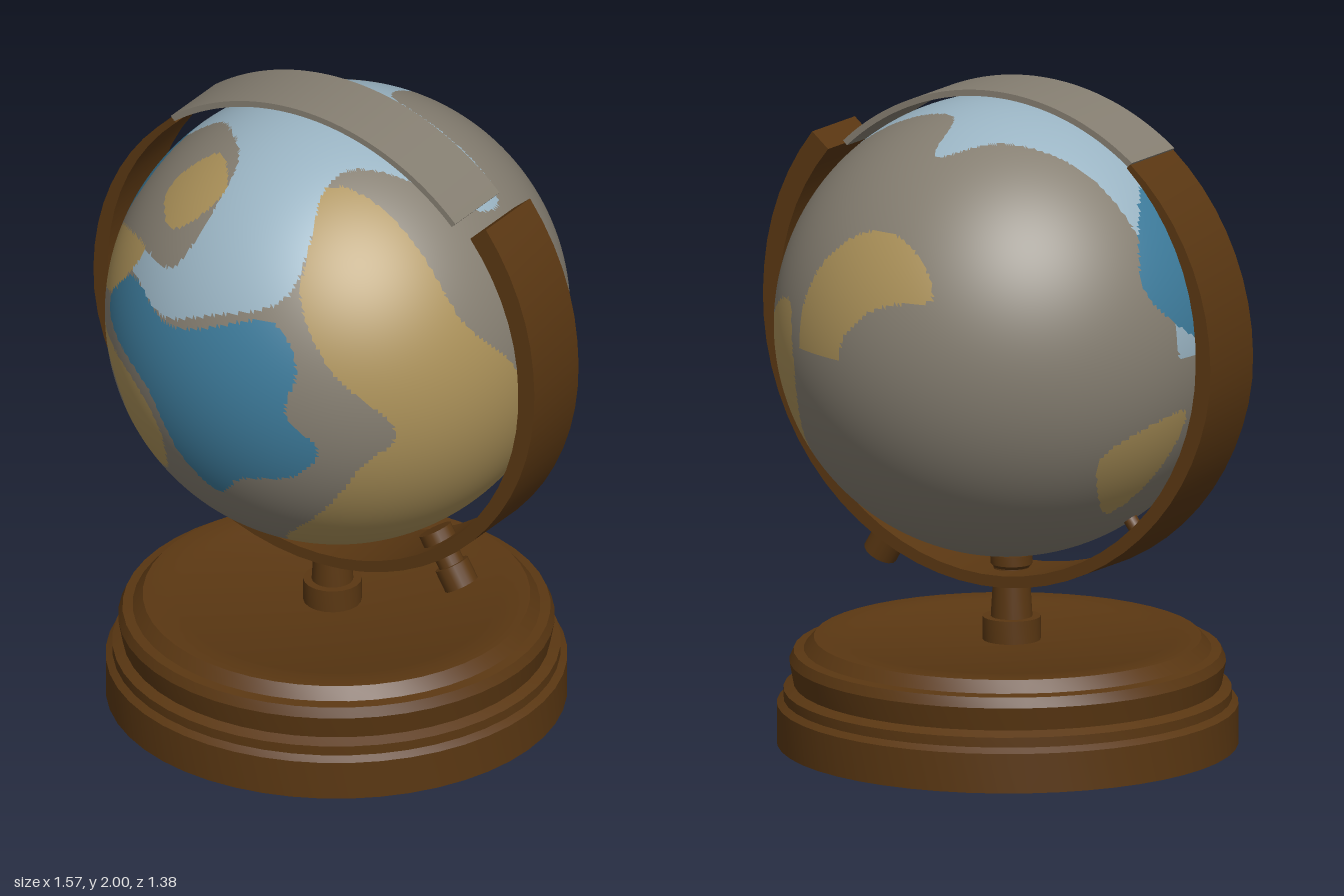
import * as THREE from 'three';
import { toCreasedNormals } from 'three/addons/utils/BufferGeometryUtils.js';

const paint = (name, color) => {
  const m = new THREE.MeshStandardMaterial({ color });
  m.name = name;
  return m;
};

// Map patches, painted in order, on a globe of radius 130. Each is a rounded loop
// through a few points, seen along one axis and covering the half facing that side.
const GREY = 0, ICE = 1, SEA = 2, LAND = 3;
const SIDES = {
  front: (p) => (p.z > 0 ? [p.x, p.y] : null),
  right: (p) => (p.x > 0 ? [p.z, p.y] : null),
  left: (p) => (p.x < 0 ? [p.z, p.y] : null),
  top: (p) => (p.y > 0 ? [p.x, p.z] : null),
};
const PATCHES = [
  // polar water
  ['top', ICE, [-128, -22, -70, -34, -28, -50, 2, -70, 12, -36, 92, -24, 90, 4, 32, 44, 37, 104, -30, 120, -72, 97,
    -108, 58, -130, 10]],
  // northern land
  ['front', GREY, [-97, 86, -57, 114, -28, 113, -27, 92, -40, 64, -70, 60, -80, 38, -118, 35, -116, 62]],
  ['front', LAND, [-69, 87, -44, 111, -25, 104, -52, 78]],
  // oceans
  ['left', SEA, [-40, 42, 0, 94, 46, 66, 20, 2]],
  ['front', SEA, [-94, 16, -72, 46, -32, 36, 33, 54, 50, 30, 46, 4, 62, -18, 50, -37, 14, -48, -3, -64, -24, -46,
    -46, -8]],
  // western land
  ['front', LAND, [-117, 14, -108, 48, -68, 62, -92, 26]],
  ['front', LAND, [-109, -4, -62, -9, -40, -32, -47, -67, -74, -66, -84, -30]],
  ['left', LAND, [-10, -32, -62, -52, -30, -92]],
  // eastern land
  ['right', LAND, [50, 114, 44, 49, 14, 10, -4, -46, -34, -31, -60, -6, -99, 24, -107, -16, -84, -60, 20, -126,
    88, -92, 98, -33, 86, -10, 107, 30, 100, 72]],
  // far land
  ['top', LAND, [-28, -120, 46, -125, 66, -112, 12, -107]],
];

// Round off an outline into a closed smooth loop
function smoothLoop(flat) {
  const pts = [];
  for (let i = 0; i < flat.length; i += 2) pts.push(new THREE.Vector3(flat[i], flat[i + 1], 0));
  return new THREE.CatmullRomCurve3(pts, true).getPoints(pts.length * 6);
}

function inside(x, y, loop) {
  let hit = false;
  for (let i = 0, j = loop.length - 1; i < loop.length; j = i++) {
    const a = loop[i], b = loop[j];
    if (a.y > y !== b.y > y && x < ((b.x - a.x) * (y - a.y)) / (b.y - a.y) + a.x) hit = !hit;
  }
  return hit;
}

// Sphere whose faces are sorted into one group per map colour
function globeGeometry(radius) {
  const geo = new THREE.SphereGeometry(radius, 320, 160);
  const pos = geo.attributes.position, index = geo.index.array;
  const patches = PATCHES.map(([side, colour, flat]) => ({ project: SIDES[side], colour, loop: smoothLoop(flat) }));
  const faces = [[], [], [], []];
  const c = new THREE.Vector3(), v = new THREE.Vector3();
  for (let i = 0; i < index.length; i += 3) {
    c.set(0, 0, 0);
    for (let k = 0; k < 3; k++) c.add(v.fromBufferAttribute(pos, index[i + k]));
    c.setLength(130);
    let colour = GREY;
    for (const patch of patches) {
      const q = patch.project(c);
      if (q && inside(q[0], q[1], patch.loop)) colour = patch.colour;
    }
    faces[colour].push(index[i], index[i + 1], index[i + 2]);
  }
  geo.setIndex(faces.flat());
  geo.clearGroups();
  let start = 0;
  faces.forEach((f, k) => {
    geo.addGroup(start, f.length, k);
    start += f.length;
  });
  return geo;
}

// Flat band bent along an arc; outer and inner give the radius at each angle (degrees)
function band(from, to, outer, inner) {
  const rim = [], back = [], steps = 48;
  for (let i = 0; i <= steps; i++) {
    const deg = from + ((to - from) * i) / steps, a = THREE.MathUtils.degToRad(deg);
    const at = (r) => new THREE.Vector2(Math.cos(a) * r, Math.sin(a) * r);
    rim.push(at(outer(deg)));
    back.unshift(at(inner(a)));
  }
  const geo = new THREE.ExtrudeGeometry(new THREE.Shape([...rim, ...back]), { depth: 0.235, bevelEnabled: false });
  return toCreasedNormals(geo.translate(0, 0, -0.097), 0.5);
}

const lathe = (points, sides) =>
  toCreasedNormals(new THREE.LatheGeometry(points.map(([r, y]) => new THREE.Vector2(r, y)), sides), 0.5);

export function createModel() {
  const group = new THREE.Group();
  const wood = paint('brown wood', 0x5a3712);
  const grey = paint('warm grey', 0x857e71);
  const ice = paint('pale blue', 0x9ab4c3);
  const sea = paint('ocean blue', 0x3d7b9b);
  const land = paint('tan', 0xab9159);
  const add = (name, geo, mat, x = 0, y = 0, z = 0) => {
    const mesh = new THREE.Mesh(geo, mat);
    mesh.name = name;
    mesh.position.set(x, y, z);
    group.add(mesh);
    return mesh;
  };

  // Globe
  add('globe', globeGeometry(0.69), [grey, ice, sea, land], -0.005, 1.27, 0);

  // Hollow stepped base
  add('base', lathe([[0, 0.285], [0.55, 0.285], [0.61, 0.18], [0.655, 0], [0.685, 0], [0.685, 0.12], [0.665, 0.135],
    [0.665, 0.165], [0.635, 0.18], [0.648, 0.25], [0.635, 0.28], [0.605, 0.285], [0.575, 0.32], [0.5, 0.32],
    [0.48, 0.31], [0, 0.31]], 48), wood, -0.007, 0, 0.003);

  // Stem with collar and cap
  add('stem', lathe([[0, 0.3], [0.087, 0.3], [0.087, 0.38], [0.062, 0.38], [0.053, 0.53], [0.062, 0.54],
    [0.062, 0.57], [0, 0.57]], 20), wood, -0.01, 0, 0.02);

  // Meridian ring, thinning toward its upper left end
  add('meridianRing', band(132, 400,
    (d) => 0.79 - 0.04 * Math.max(0, (190 - d) / 58) + 0.015 * Math.max(0, (d - 365) / 35),
    (a) => 0.732 + 0.023 * Math.max(0, -Math.sin(a))), wood, 0, 1.28, 0);

  // Grey strap over the top
  add('topStrap', band(46.5, 127, () => 0.787, () => 0.768), grey, -0.034, 1.213, 0);

  // Knob and peg, pointing out from the globe's centre
  const pin = (name, r, from, to, x, y, z) => {
    const dir = new THREE.Vector3(x, y, 0).normalize();
    const mesh = add(name, new THREE.CylinderGeometry(r, r, to - from, 16), wood);
    mesh.quaternion.setFromUnitVectors(new THREE.Vector3(0, 1, 0), dir);
    mesh.position.copy(dir.multiplyScalar((from + to) / 2)).add(new THREE.Vector3(0, 1.28, z));
  };
  pin('knobInnerCap', 0.052, 0.715, 0.76, 0.47, -0.78, 0.04);
  pin('knobShaft', 0.04, 0.74, 0.85, 0.47, -0.78, 0.04);
  pin('knobHead', 0.053, 0.83, 0.9, 0.47, -0.78, 0.04);
  pin('pivotPeg', 0.022, 0.66, 0.76, -0.455, -0.59, 0.02);

  return group;
}
